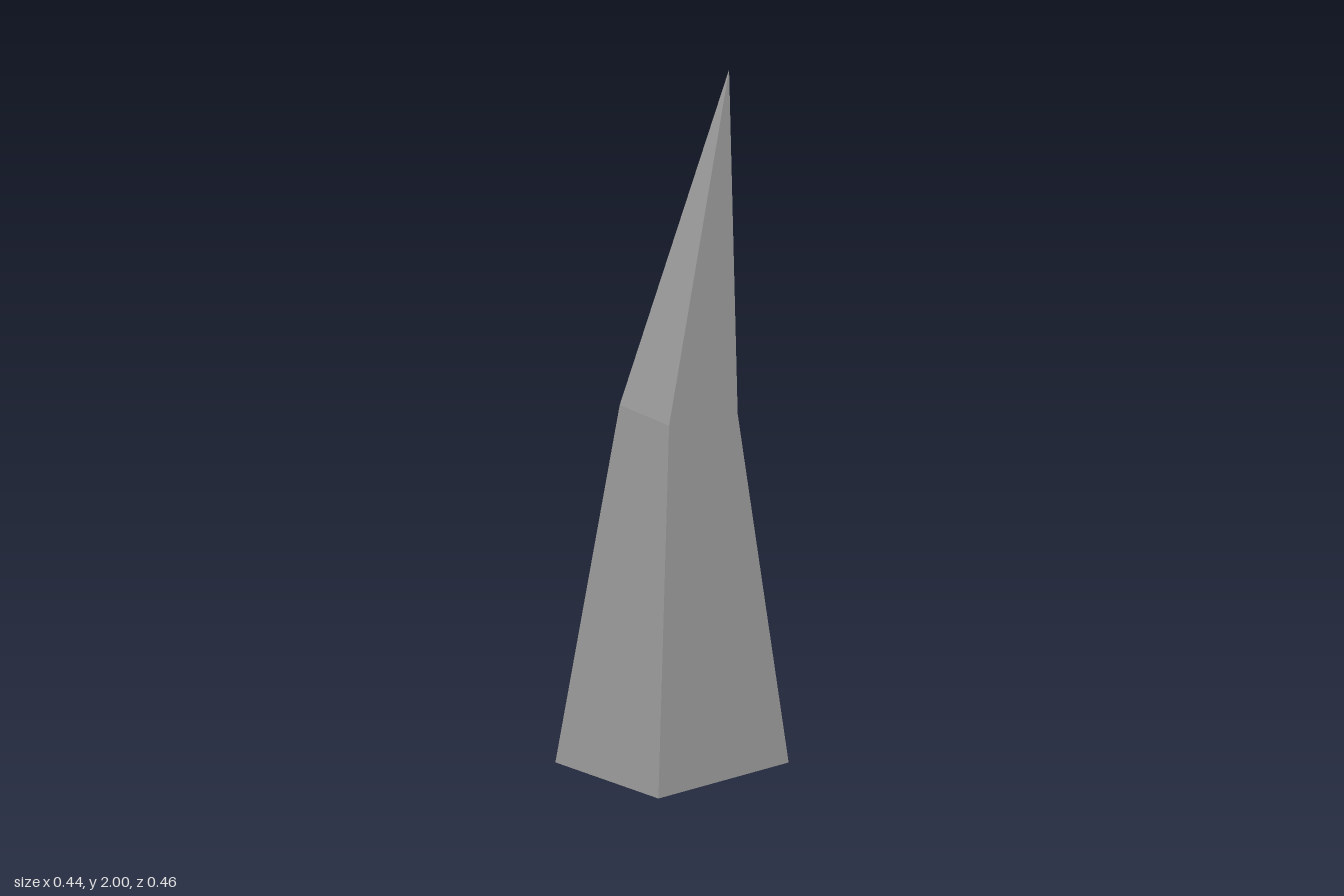
import * as THREE from 'three';

export function createModel() {
  // Corner rings, in order: front (-x), front (+x), back (+x), back (-x)
  const base = [[-0.22, 0, 0.229], [0.218, 0.037, 0.213], [0.218, 0.03, -0.228], [-0.203, 0.075, -0.23]];
  const bend = [[-0.107, 1.05, 0.097], [0.113, 1.063, 0.097], [0.116, 1.04, -0.133], [-0.09, 1.013, -0.125]];
  const tip = [0.012, 2, -0.183];

  const positions = [];
  const normals = [];

  // Panel of three or four corners, shaded evenly by one normal
  function addPanel(...corners) {
    const [a, b, c, d = a] = corners.map((p) => new THREE.Vector3(...p));
    const normal = c.clone().sub(a);
    if (d === a) normal.copy(b).sub(a).cross(c.clone().sub(a));
    else normal.cross(d.clone().sub(b));
    normal.normalize();
    for (let i = 2; i < corners.length; i++) {
      positions.push(...corners[0], ...corners[i - 1], ...corners[i]);
      for (let k = 0; k < 3; k++) normals.push(...normal.toArray());
    }
  }

  // Four tapering sides, each with a lower panel and an upper point
  for (let i = 0; i < 4; i++) {
    const j = (i + 1) % 4;
    addPanel(base[i], base[j], bend[j], bend[i]);
    addPanel(bend[i], bend[j], tip);
  }
  // Uneven underside, folded across its higher corners
  addPanel(base[3], base[2], base[1], base[0]);

  const geometry = new THREE.BufferGeometry();
  geometry.setAttribute('position', new THREE.Float32BufferAttribute(positions, 3));
  geometry.setAttribute('normal', new THREE.Float32BufferAttribute(normals, 3));

  const spike = new THREE.Mesh(geometry, new THREE.MeshStandardMaterial({ color: 0x9b9b9b }));
  spike.name = 'bentSpike';

  const group = new THREE.Group();
  group.name = 'spike';
  group.add(spike);
  return group;
}
